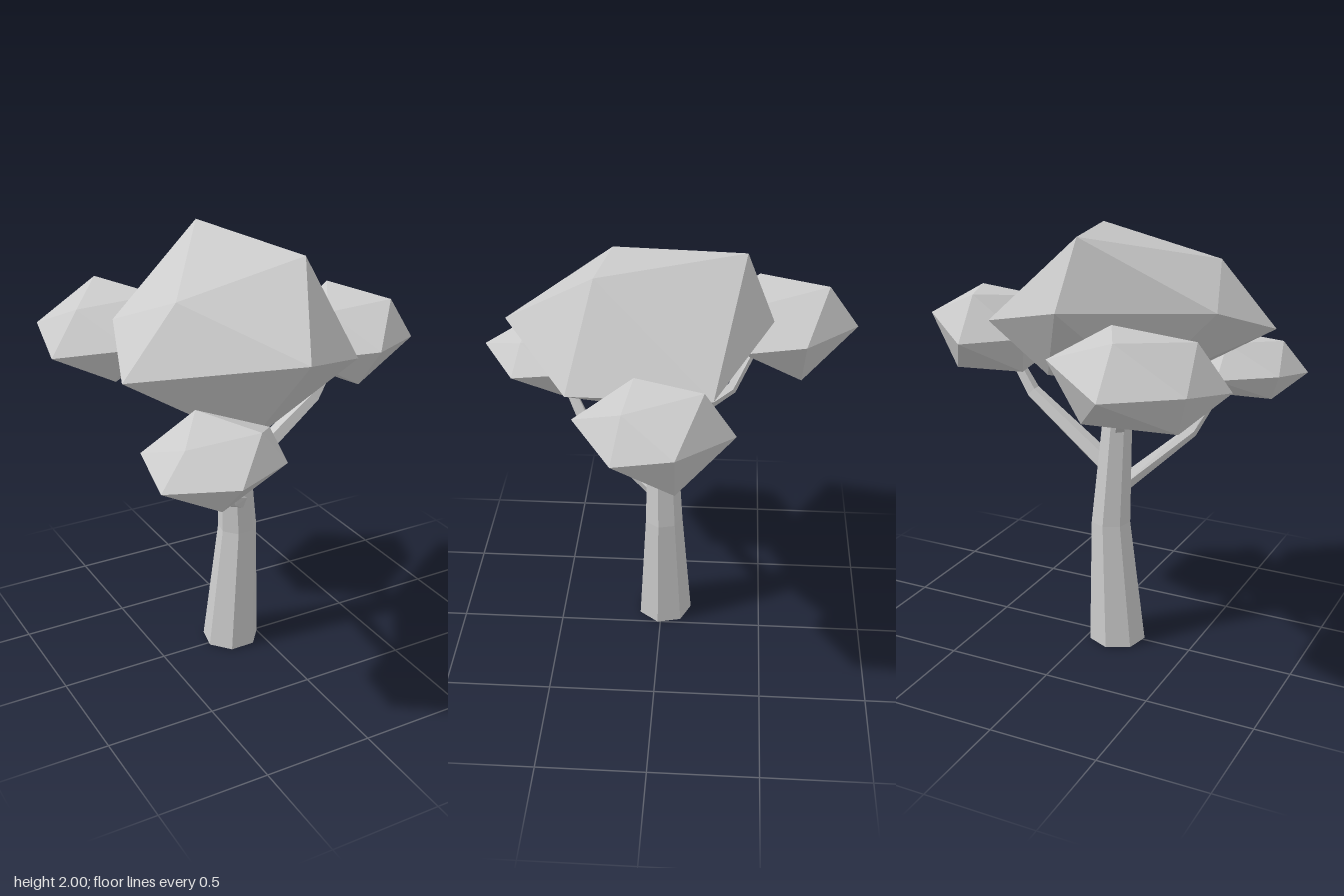
import * as THREE from 'three';
import { ConvexGeometry } from 'three/addons/geometries/ConvexGeometry.js';

const material = new THREE.MeshStandardMaterial({ color: 0xcccccc, flatShading: true });

// Faceted limb swept through rings of [x, y, z, radius]; level rings stay horizontal
function limb(name, rings, sides, phase = 0, level = false) {
  const centres = rings.map(([x, y, z]) => new THREE.Vector3(x, y, z));
  const last = rings.length - 1;
  const pos = [], index = [];
  rings.forEach((ring, i) => {
    const t = level ? new THREE.Vector3(0, 1, 0)
      : centres[Math.min(i + 1, last)].clone().sub(centres[Math.max(i - 1, 0)]).normalize();
    const u = new THREE.Vector3(1, 0, 0).cross(t).normalize();
    const v = t.clone().cross(u);
    for (let k = 0; k < sides; k++) {
      const a = phase + (k / sides) * Math.PI * 2;
      const p = centres[i].clone()
        .addScaledVector(u, Math.cos(a) * ring[3])
        .addScaledVector(v, Math.sin(a) * ring[3]);
      pos.push(p.x, p.y, p.z);
    }
  });
  for (let i = 0; i < last; i++) {
    for (let k = 0; k < sides; k++) {
      const a = i * sides + k, b = i * sides + (k + 1) % sides;
      index.push(a, b, a + sides, b, b + sides, a + sides);
    }
  }
  // End caps
  for (let k = 1; k < sides - 1; k++) {
    index.push(0, k + 1, k);
    index.push(last * sides, last * sides + k, last * sides + k + 1);
  }
  const geo = new THREE.BufferGeometry();
  geo.setAttribute('position', new THREE.Float32BufferAttribute(pos, 3));
  geo.setIndex(index);
  const flat = geo.toNonIndexed();
  flat.computeVertexNormals();
  const mesh = new THREE.Mesh(flat, material);
  mesh.name = name;
  return mesh;
}

// Irregular twenty-sided leaf mass from its twelve corners
function leaves(name, corners) {
  const mesh = new THREE.Mesh(
    new ConvexGeometry(corners.map((c) => new THREE.Vector3(...c))), material);
  mesh.name = name;
  return mesh;
}

// Corners of the main crown, top to bottom
const crown = [
  [-0.10, 2.00, -0.37], [0.09, 1.955, 0.275], [-0.505, 1.835, 0.25],
  [-0.06, 1.70, -0.495], [-0.63, 1.68, -0.12], [-0.14, 1.64, 0.705],
  [0.41, 1.565, -0.245], [-0.765, 1.54, 0.273], [0.295, 1.50, 0.39],
  [0.135, 1.335, -0.20], [-0.29, 1.31, -0.12], [-0.23, 1.21, 0.37],
];

// Corners of a small cluster, relative to its centre
const cluster = [
  [0.005, 0.195, -0.21], [0.148, 0.17, 0.115], [-0.18, 0.15, 0.09],
  [0.30, 0.06, -0.105], [0.005, -0.005, -0.345], [-0.055, 0.015, 0.342],
  [0.245, -0.015, 0.155], [-0.30, -0.05, 0.12], [-0.25, 0.015, -0.20],
  [0.17, -0.193, -0.10], [-0.075, -0.18, 0.20], [-0.195, -0.165, -0.12],
];

export function createModel() {
  const tree = new THREE.Group();
  tree.name = 'tree';

  // Seven-sided trunk with a slight bend
  tree.add(limb('trunk', [
    [-0.13, 0, -0.015, 0.135],
    [-0.09, 0.6, -0.01, 0.093],
    [-0.115, 1.1, 0.0, 0.07],
    [-0.145, 1.35, 0.01, 0.062],
  ], 7, THREE.MathUtils.degToRad(78), true));

  // Branches, each with one kink
  const branches = {
    leftBranch: [[-0.07, 0.88, -0.01, 0.05], [0.32, 1.18, -0.01, 0.036], [0.43, 1.36, -0.01, 0.026]],
    frontBranch: [[-0.11, 0.76, 0.04, 0.042], [-0.33, 0.96, 0.38, 0.032], [-0.43, 1.17, 0.49, 0.024]],
    backBranch: [[-0.14, 1.08, -0.03, 0.036], [-0.28, 1.23, -0.32, 0.028], [-0.34, 1.37, -0.40, 0.02]],
  };
  for (const [name, rings] of Object.entries(branches)) tree.add(limb(name, rings, 5, 0.3));

  // Main crown
  tree.add(leaves('crown', crown));

  // Small leaf clusters: name, centre, scale
  [
    ['leftCluster', [0.505, 1.47, 0], [1, 1, 1]],
    ['frontCluster', [-0.50, 1.27, 0.58], [1, 0.74, 0.93]],
    ['backCluster', [-0.457, 1.49, -0.536], [1.19, 1, 1.07]],
  ].forEach(([name, c, s]) => {
    tree.add(leaves(name, cluster.map((p) => p.map((v, i) => c[i] + v * s[i]))));
  });

  return tree;
}
